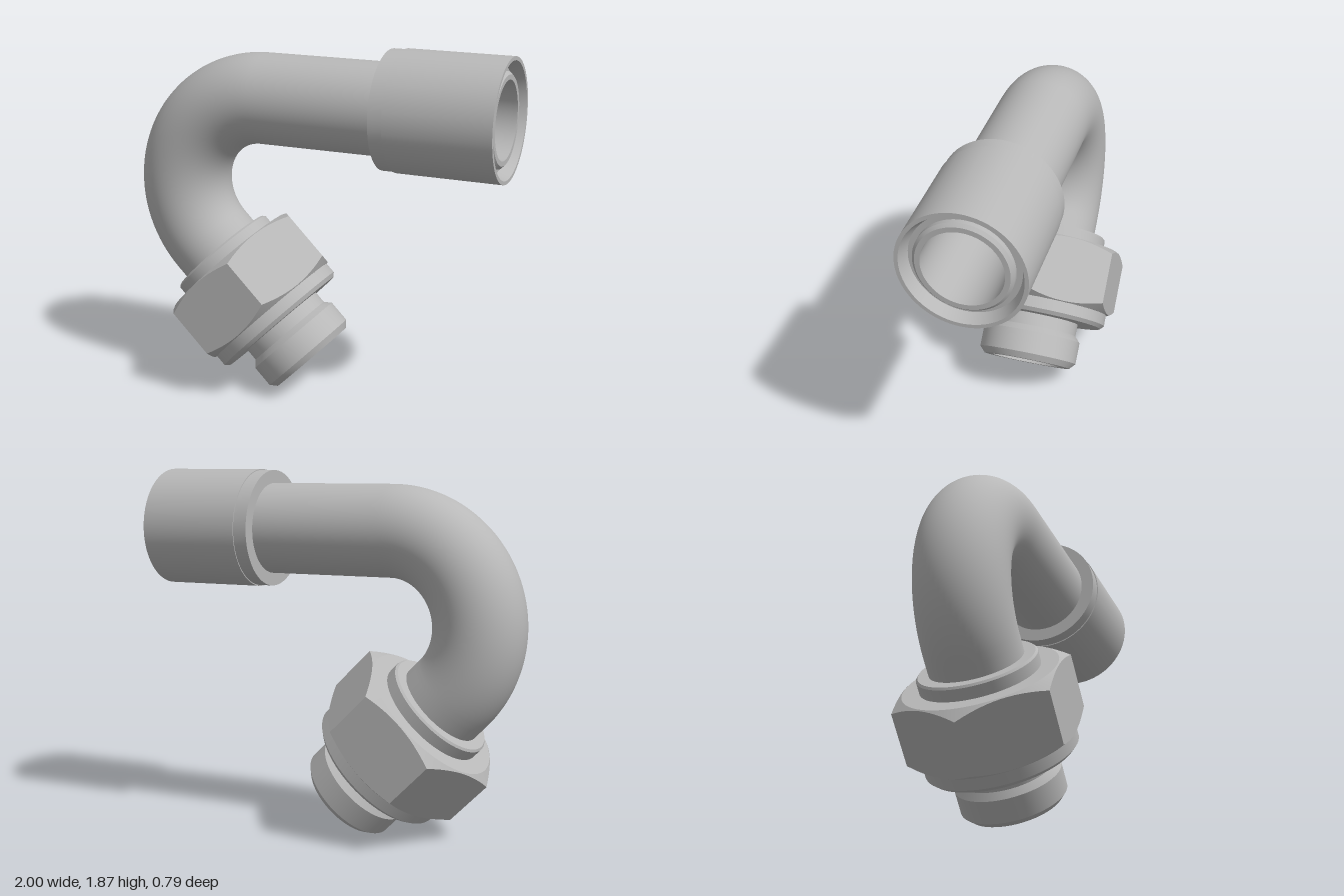
import * as THREE from 'three';
import { toCreasedNormals } from 'three/addons/utils/BufferGeometryUtils.js';

const PIPE_R = 0.235, BORE_R = 0.195, BEND_R = 0.47;
const CX = -0.295, CY = 1.095;          // bend centre
const AXIS_Y = CY + BEND_R;             // height of the straight run

const steel = new THREE.MeshStandardMaterial({ color: 0xb8b8b8 });
steel.name = 'steel';
const steelInside = steel.clone();      // same colour, seen from inside the bore
steelInside.side = THREE.BackSide;

function mesh(name, geometry, material = steel) {
  const m = new THREE.Mesh(geometry, material);
  m.name = name;
  return m;
}

// Turned part from [distance along axis, radius] pairs
function turn(pairs) {
  return new THREE.LatheGeometry(pairs.map(([s, r]) => new THREE.Vector2(r, s)), 72);
}
const sharp = (g) => toCreasedNormals(g, 0.4);

// Centre line: straight run, 135 degree bend, short straight tail
function pipePath(tail) {
  const d = Math.SQRT1_2, v = (x, y) => new THREE.Vector3(x, y, 0);
  const arc = [];
  for (let i = 0; i <= 48; i++) {
    const a = Math.PI / 2 + (i / 48) * Math.PI * 0.75;
    arc.push(v(CX + BEND_R * Math.cos(a), CY + BEND_R * Math.sin(a)));
  }
  const end = arc[48];
  const path = new THREE.CurvePath();
  path.add(new THREE.LineCurve3(v(0.96, AXIS_Y), arc[0]));
  path.add(new THREE.CatmullRomCurve3(arc));
  path.add(new THREE.LineCurve3(end, v(end.x + d * tail, end.y - d * tail)));
  return path;
}

// Hexagon nut with turned chamfers at both ends
function nutGeometry(s0, s1, flat, face) {
  const g = turn([[s0, 0.24], [s0, face], [s0 + 0.04, 0.45], [s1 - 0.04, 0.45], [s1, face], [s1, 0.24]]);
  const p = g.attributes.position, sector = Math.PI / 3;
  for (let i = 0; i < p.count; i++) {
    const x = p.getX(i), z = p.getZ(i), r = Math.hypot(x, z);
    if (r < 0.42) continue;
    const a = Math.atan2(z, x) + 2 * Math.PI + 1e-6;
    const h = flat / Math.cos((a % sector) - sector / 2);
    const drop = (h - face) * 0.577;
    const low = p.getY(i) < (s0 + s1) / 2;
    p.setXYZ(i, (x / r) * h, low ? s0 + drop : s1 - drop, (z / r) * h);
  }
  return sharp(g);
}

export function createModel() {
  const model = new THREE.Group();
  model.name = 'bentPipeFitting';

  // Hollow bent pipe
  model.add(mesh('pipeOuter', new THREE.TubeGeometry(pipePath(0.2), 140, PIPE_R, 64)));
  model.add(mesh('pipeBore', new THREE.TubeGeometry(pipePath(0.46), 140, BORE_R, 64), steelInside));

  // Sleeve on the straight end, with recessed mouth
  const sleeveEnd = new THREE.Group();
  sleeveEnd.name = 'sleeveEnd';
  sleeveEnd.position.y = AXIS_Y;
  sleeveEnd.rotation.z = -Math.PI / 2;
  sleeveEnd.add(mesh('sleeve', sharp(turn([
    [0.385, 0.23], [0.385, 0.302], [0.458, 0.302], [0.458, 0.307],
    [1, 0.307], [1, 0.288], [0.94, 0.263], [0.94, 0.23],
  ]))));
  sleeveEnd.add(mesh('pipeMouth', sharp(turn([
    [0.93, PIPE_R], [0.965, PIPE_R], [0.98, 0.22], [0.98, BORE_R], [0.95, BORE_R],
  ]))));
  model.add(sleeveEnd);

  // Screw fitting along the tail of the pipe
  const fitting = new THREE.Group();
  fitting.name = 'screwFitting';
  fitting.position.set(CX - BEND_R * Math.SQRT1_2, CY - BEND_R * Math.SQRT1_2, 0);
  fitting.rotation.z = -Math.PI * 0.75;
  fitting.add(mesh('collar', sharp(turn([
    [0.085, 0.23], [0.085, 0.29], [0.095, 0.3], [0.16, 0.3],
  ]))));
  fitting.add(mesh('hexNut', nutGeometry(0.155, 0.505, 0.395, 0.388)));
  fitting.add(mesh('threadedStub', sharp(turn([
    [0.5, 0.385], [0.565, 0.385], [0.585, 0.365], [0.585, 0.24],
    [0.652, 0.24], [0.684, 0.27], [0.803, 0.27], [0.835, 0.24],
    [0.835, 0.19], [0.45, 0.19], [0.45, 0.2],
  ]))));
  model.add(fitting);

  return model;
}
